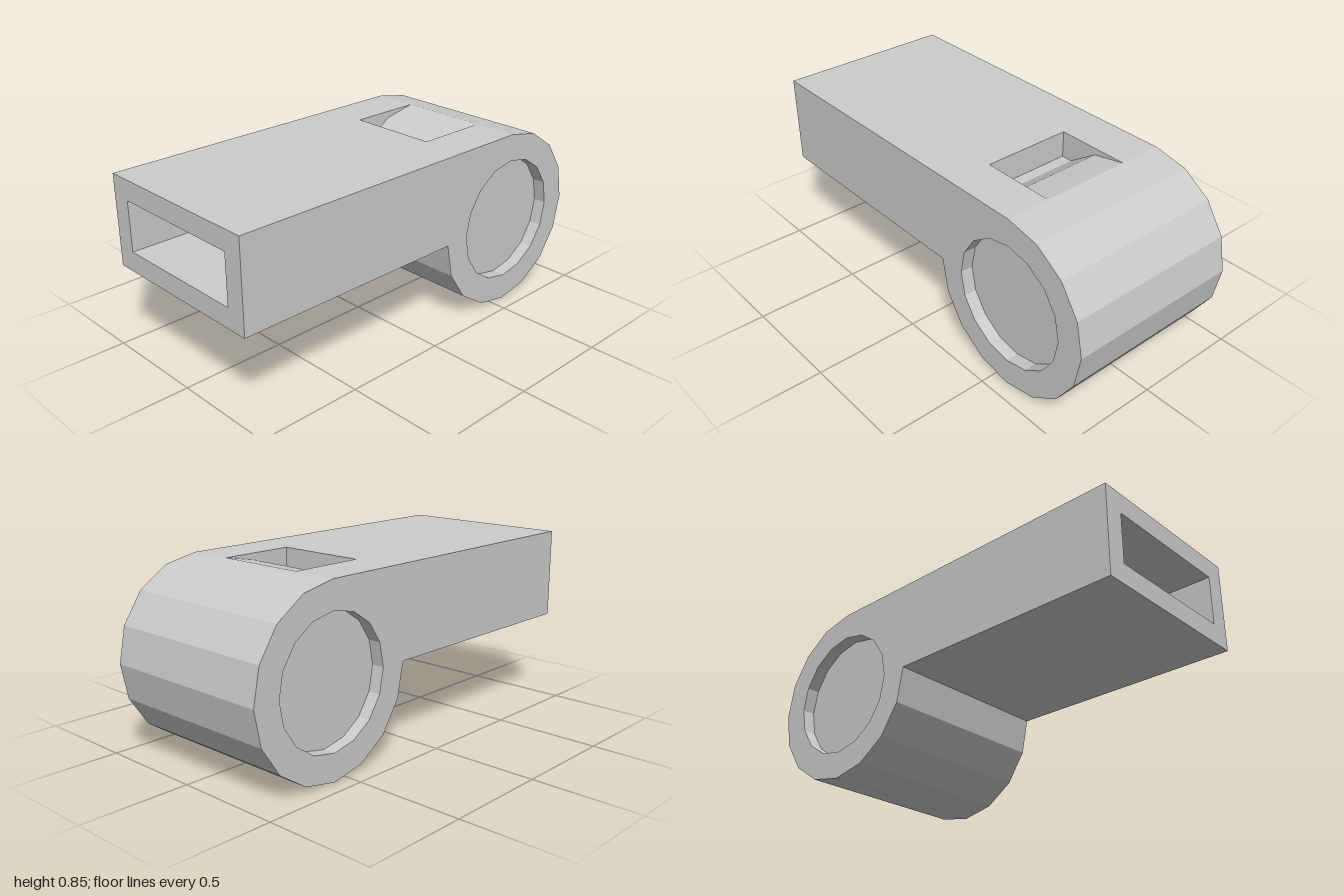
import * as THREE from 'three';

const R = 0.425;            // chamber radius, also its centre height and half the width
const CU = 0.575;           // chamber centre, measured towards the back
const STEP = Math.PI / 8;   // 16-sided chamber
const NOTCH_U = 0.22;       // front wall of the air slot
const MOUTH_END = 0;        // inner end of the mouth channel

const rim = (k, r = R) => new THREE.Vector2(CU + r * Math.cos(k * STEP), R + r * Math.sin(k * STEP));

// Side profile (u = -z, y), optionally cut by the mouth channel and the air slot
function sideProfile({ mouth = false, slot = false }) {
  const p = (u, y) => new THREE.Vector2(u, y);
  const pts = [p(-1, R)];
  for (let k = 8; k <= (slot ? 22 : 20); k++) pts.push(rim(k));
  if (slot) pts.push(p(NOTCH_U, rim(22).y), p(NOTCH_U, 2 * R));
  pts.push(p(-1, 2 * R));
  if (mouth) pts.push(p(-1, 0.755), p(MOUTH_END, 0.755), p(MOUTH_END, 0.52), p(-1, 0.52));
  return new THREE.Shape(pts);
}

export function createModel() {
  const group = new THREE.Group();
  const material = new THREE.MeshStandardMaterial({ color: 0xcccccc, flatShading: true });

  // Extrude a side profile across the width from x0 to x1
  function layer(name, shape, x0, x1) {
    const geo = new THREE.ExtrudeGeometry(shape, { depth: x1 - x0, bevelEnabled: false });
    geo.translate(0, 0, x0).rotateY(Math.PI / 2);
    const mesh = new THREE.Mesh(geo, material);
    mesh.name = name;
    group.add(mesh);
  }

  // Outer cheek with the round recess
  const cheek = sideProfile({});
  const recess = [];
  for (let k = 0; k < 16; k++) recess.push(rim(-k, 0.297));
  cheek.holes.push(new THREE.Path(recess));

  // Matching layers on both sides: cheek, solid wall, wall beside the air slot
  const layers = [
    ['Cheek', cheek, 0.365, 0.425],
    ['Wall', sideProfile({}), 0.33, 0.365],
    ['Shoulder', sideProfile({ mouth: true }), 0.215, 0.33],
  ];
  for (const [name, shape, a, b] of layers) {
    layer('left' + name, shape, a, b);
    layer('right' + name, shape, -b, -a);
  }

  // Middle of the body with mouth channel and air slot
  layer('slottedCore', sideProfile({ mouth: true, slot: true }), -0.215, 0.215);
  return group;
}
